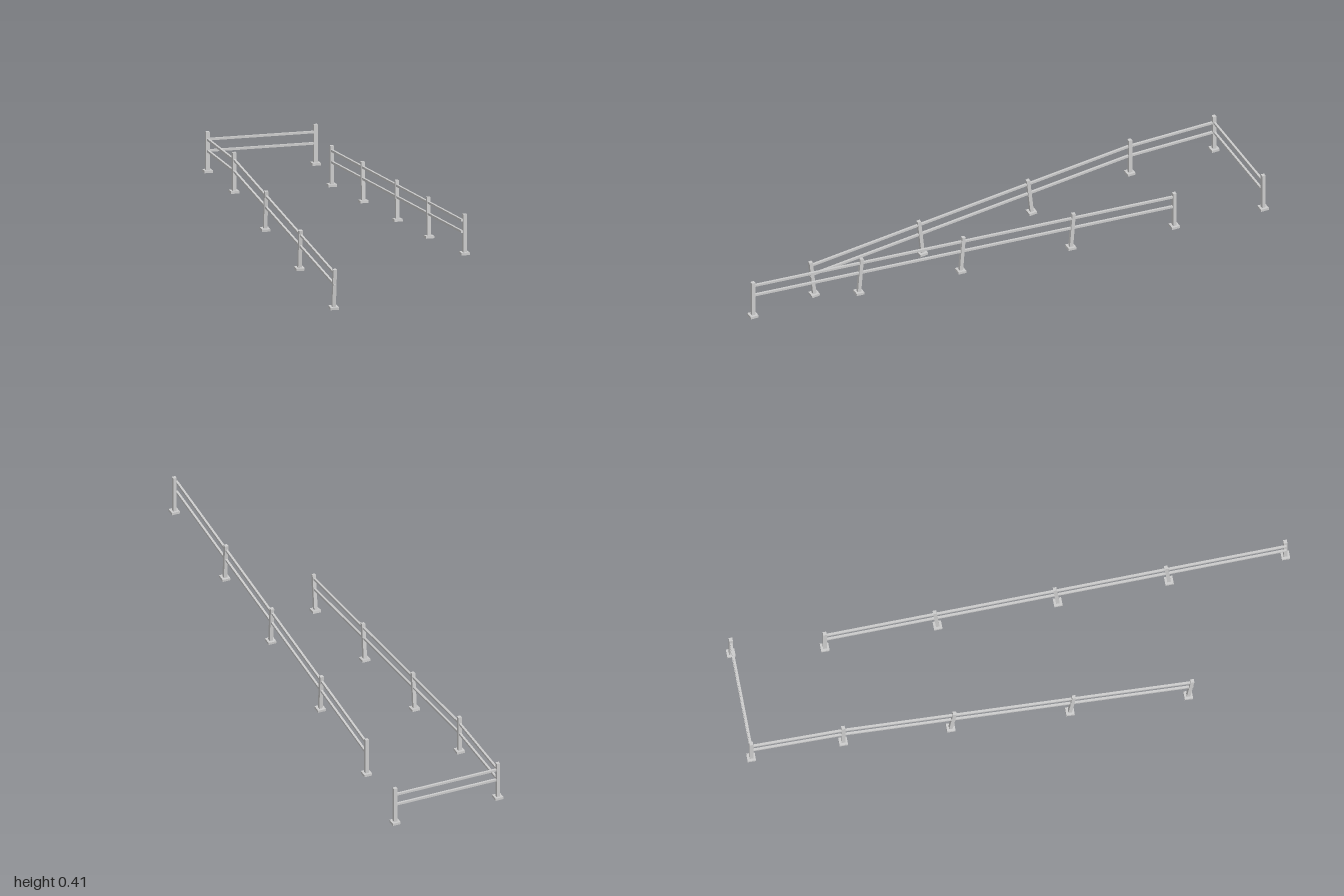
import * as THREE from 'three';

const POST = 0.013, POST_H = 0.1415, BASE = 0.03, BASE_H = 0.009, RAIL = 0.008, GAP = 0.041;

export function createModel() {
  const model = new THREE.Group();
  const material = new THREE.MeshStandardMaterial({ color: 0xcccccc, flatShading: true });

  const box = (name, w, h, d) => {
    const mesh = new THREE.Mesh(new THREE.BoxGeometry(w, h, d), material);
    mesh.name = name;
    return mesh;
  };

  // Post on a square foot plate; tilt leans it along z, square to a sloping rail
  function addPost(parent, x, y, z, tilt = 0) {
    const post = new THREE.Group();
    post.name = 'post';
    const foot = box('footPlate', BASE, BASE_H, BASE);
    const upright = box('upright', POST, POST_H, POST);
    upright.position.y = POST_H / 2;
    post.add(foot, upright);
    post.position.set(x, y, z);
    post.rotation.x = tilt;
    parent.add(post);
  }

  // Upper and lower rails between two points
  function addRails(parent, from, to) {
    const a = new THREE.Vector3(...from), b = new THREE.Vector3(...to);
    ['upperRail', 'lowerRail'].forEach((name, i) => {
      const rail = box(name, RAIL, RAIL, a.distanceTo(b));
      const drop = new THREE.Vector3(0, -GAP * i, 0);
      rail.position.copy(a).add(b).multiplyScalar(0.5).add(drop);
      rail.lookAt(b.clone().add(drop));
      parent.add(rail);
    });
  }

  // Right-hand railing: level landing, corner, then a run down to the front
  const longRailing = new THREE.Group();
  longRailing.name = 'cornerRailing';
  const downTilt = Math.atan(0.104);
  for (const [x, z] of [[0.196, -0.985], [-0.199, -0.985], [-0.199, -0.657]]) {
    addPost(longRailing, x, 0.1445, z);
  }
  for (const [y, z] of [[0.0955, -0.274], [0.051, 0.151], [0.006, 0.573]]) {
    addPost(longRailing, -0.199, y, z, downTilt);
  }
  addRails(longRailing, [-0.199, 0.2585, -0.985], [0.196, 0.2585, -0.985]);
  addRails(longRailing, [-0.199, 0.2585, -0.985], [-0.199, 0.2585, -0.657]);
  addRails(longRailing, [-0.199, 0.2595, -0.657], [-0.199, 0.131, 0.592]);

  // Left-hand railing: one straight run climbing to the front
  const straightRailing = new THREE.Group();
  straightRailing.name = 'straightRailing';
  const upTilt = -Math.atan(0.0745);
  addPost(straightRailing, 0.158, 0.1445, -0.657);
  for (const [x, y, z] of [[0.155, 0.177, -0.255], [0.153, 0.2075, 0.173], [0.151, 0.237, 0.569]]) {
    addPost(straightRailing, x, y, z, upTilt);
  }
  addPost(straightRailing, 0.158, 0.2715, 0.985);
  addRails(straightRailing, [0.157, 0.269, -0.657], [0.148, 0.391, 0.988]);

  model.add(longRailing, straightRailing);
  return model;
}
